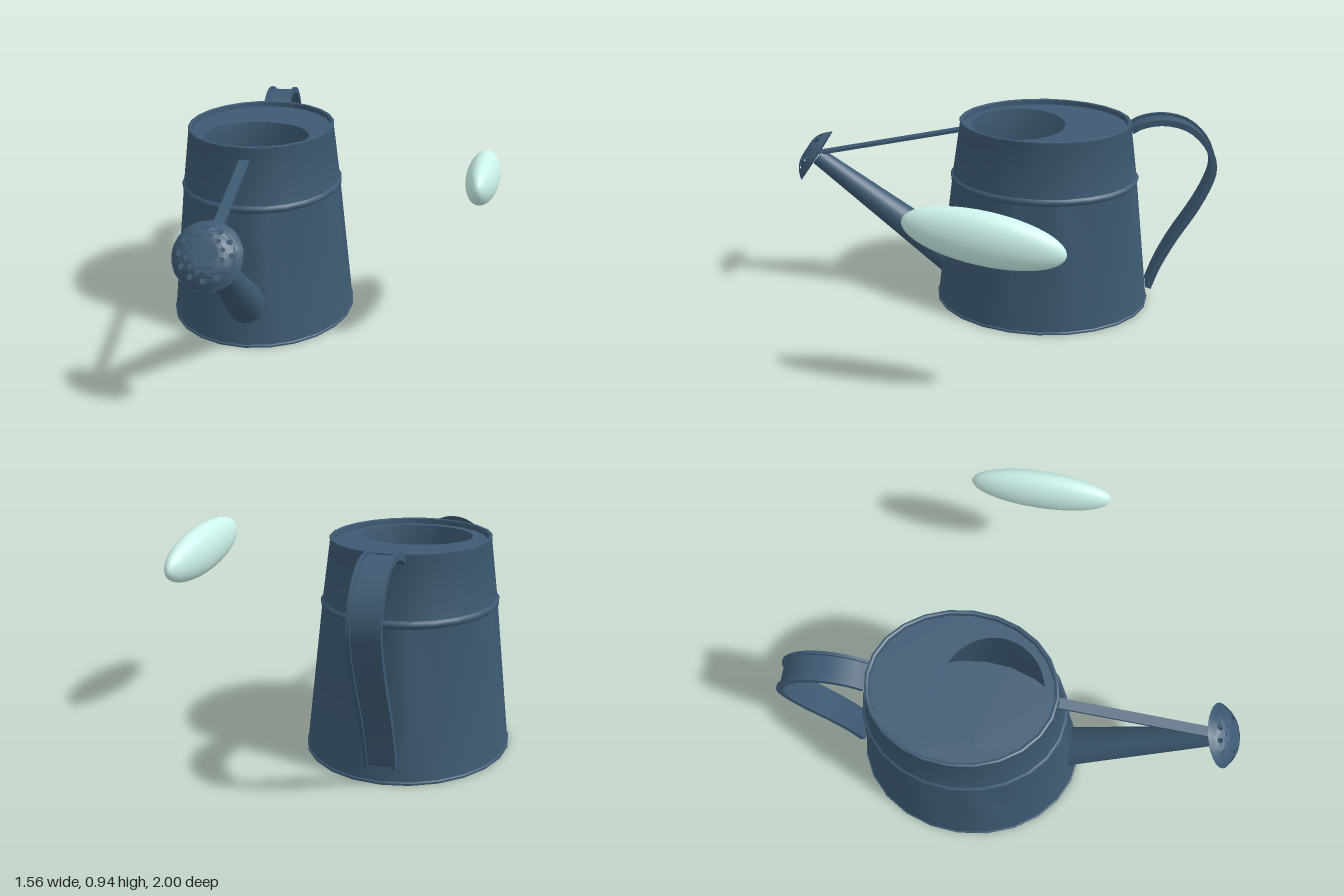
import * as THREE from 'three';
import { mergeGeometries, mergeVertices, toCreasedNormals } from 'three/addons/utils/BufferGeometryUtils.js';

const metal = new THREE.MeshStandardMaterial({ color: 0x3d5a73, side: THREE.DoubleSide });
const pale = new THREE.MeshStandardMaterial({ color: 0xcdf3ec });
const V2 = (x, y) => new THREE.Vector2(x, y);
const V3 = (x, y, z) => new THREE.Vector3(x, y, z);

function part(name, geometry, material = metal) {
  const mesh = new THREE.Mesh(geometry, material);
  mesh.name = name;
  return mesh;
}

// Place a mesh built along +y between two points
function span(mesh, a, b) {
  mesh.position.addVectors(a, b).multiplyScalar(0.5);
  mesh.quaternion.setFromUnitVectors(V3(0, 1, 0), b.clone().sub(a).normalize());
  return mesh;
}

// Strip that follows a (z, y) curve, between two offsets, extruded across x
function strip(curve, inner, outer, width, x) {
  const n = 28, top = [], under = [];
  for (let i = 0; i <= n; i++) {
    const p = curve.getPoint(i / n), t = curve.getTangent(i / n);
    top.push(V2(p.x + t.y * outer, p.y - t.x * outer));
    under.unshift(V2(p.x + t.y * inner, p.y - t.x * inner));
  }
  const g = new THREE.ExtrudeGeometry(new THREE.Shape([...top, ...under]), { depth: width, bevelEnabled: false });
  g.translate(0, 0, -width / 2).rotateY(-Math.PI / 2).translate(x, 0, 0);
  return toCreasedNormals(g, 0.6);
}

// Flat ring with a circle of holes, bulged into a dome
function domeRing(inner, outer, count, holeRadius) {
  const shape = new THREE.Shape().absarc(0, 0, outer, 0, Math.PI * 2, false);
  const addHole = (x, y, r) => shape.holes.push(new THREE.Path().absarc(x, y, r, 0, Math.PI * 2, true));
  if (inner > 0) addHole(0, 0, inner);
  for (let i = 0; i < count; i++) {
    const a = ((i + (inner > 0.08 ? 0 : 0.5)) / count) * Math.PI * 2, r = (inner + outer) / 2;
    addHole(r * Math.cos(a), r * Math.sin(a), holeRadius);
  }
  const g = new THREE.ShapeGeometry(shape, 12), p = g.attributes.position;
  for (let i = 0; i < p.count; i++) {
    p.setZ(i, 0.062 * (1 - (Math.hypot(p.getX(i), p.getY(i)) / 0.14) ** 3));
  }
  g.deleteAttribute('uv');
  g.deleteAttribute('normal');
  return g;
}

export function createModel() {
  const model = new THREE.Group();
  model.name = 'wateringCan';
  const can = new THREE.Group();
  can.name = 'can';
  can.position.set(-0.34, 0, -0.19);
  can.rotation.y = 0.105;
  model.add(can);

  // Tapered oval body with foot, raised band and rolled rim
  const profile = [
    [0, 0], [1, 0], [1, 0.008], [0.988, 0.012], [0.844, 0.62], [0.857, 0.628], [0.86, 0.637],
    [0.853, 0.646], [0.836, 0.652], [0.768, 0.895], [0.773, 0.902], [0.771, 0.911], [0.755, 0.914],
    [0.737, 0.91], [0.735, 0.885],
  ].map(([r, y]) => V2(r, y));
  const bodyGeo = new THREE.LatheGeometry(profile, 24).scale(0.44, 1, 0.525);
  can.add(part('body', toCreasedNormals(bodyGeo, 0.6)));

  // Recessed top plate with an oval filling hole near the front
  const plate = new THREE.Shape().absellipse(0, 0, 0.324, 0.387, 0, Math.PI * 2, false);
  plate.holes.push(new THREE.Path().absellipse(0, -0.125, 0.24, 0.22, 0, Math.PI * 2, true));
  const top = part('topPlate', new THREE.ShapeGeometry(plate, 20).rotateX(-Math.PI / 2));
  top.position.y = 0.888;
  can.add(top);

  // Tapered spout
  const spoutBase = V3(0, 0.18, 0.44), spoutTip = V3(0, 0.695, 1.1);
  const spoutGeo = new THREE.CylinderGeometry(0.041, 0.092, spoutBase.distanceTo(spoutTip), 24, 1, true);
  can.add(span(part('spout', spoutGeo), spoutBase, spoutTip));

  // Brace from rim to sprinkler head
  const braceBack = V3(0, 0.852, 0.4), braceFront = V3(0, 0.715, 1.09);
  const braceGeo = new THREE.BoxGeometry(0.045, braceBack.distanceTo(braceFront), 0.014);
  can.add(span(part('brace', braceGeo), braceBack, braceFront));

  // Sprinkler head: perforated dome and back plate
  const head = new THREE.Group();
  head.name = 'sprinklerHead';
  head.position.set(0, 0.697, 1.107);
  head.rotation.x = -0.582;
  const dome = mergeGeometries([
    domeRing(0, 0.055, 0, 0), domeRing(0.055, 0.088, 12, 0.009),
    domeRing(0.088, 0.117, 12, 0.011), domeRing(0.117, 0.13, 0, 0), domeRing(0.13, 0.14, 0, 0),
  ]);
  const domeGeo = mergeVertices(dome, 1e-5);
  domeGeo.computeVertexNormals();
  head.add(part('perforatedFace', domeGeo));
  head.add(part('headBack', new THREE.RingGeometry(0.035, 0.14, 24).rotateY(Math.PI)));
  can.add(head);

  // Curved channel-section handle
  const curve = new THREE.SplineCurve([
    [-0.405, 0.885], [-0.46, 0.915], [-0.56, 0.929], [-0.67, 0.9], [-0.755, 0.82], [-0.792, 0.72],
    [-0.773, 0.62], [-0.715, 0.49], [-0.63, 0.34], [-0.565, 0.2], [-0.525, 0.08],
  ].map(([z, y]) => V2(z, y)));
  const handle = new THREE.Group();
  handle.name = 'handle';
  handle.add(part('handleStrap', strip(curve, -0.014, 0.002, 0.125, 0)));
  for (const side of [-1, 1]) {
    handle.add(part('handleEdge', strip(curve, -0.014, 0.014, 0.014, side * 0.058)));
  }
  can.add(handle);

  // Separate pale ellipsoid, nose tilted up
  const pebble = part('paleEllipsoid', new THREE.SphereGeometry(1, 32, 24).rotateX(Math.PI / 2).scale(0.072, 0.113, 0.33), pale);
  pebble.position.set(0.711, 0.755, -0.105);
  pebble.rotation.x = -0.15;
  model.add(pebble);

  return model;
}
